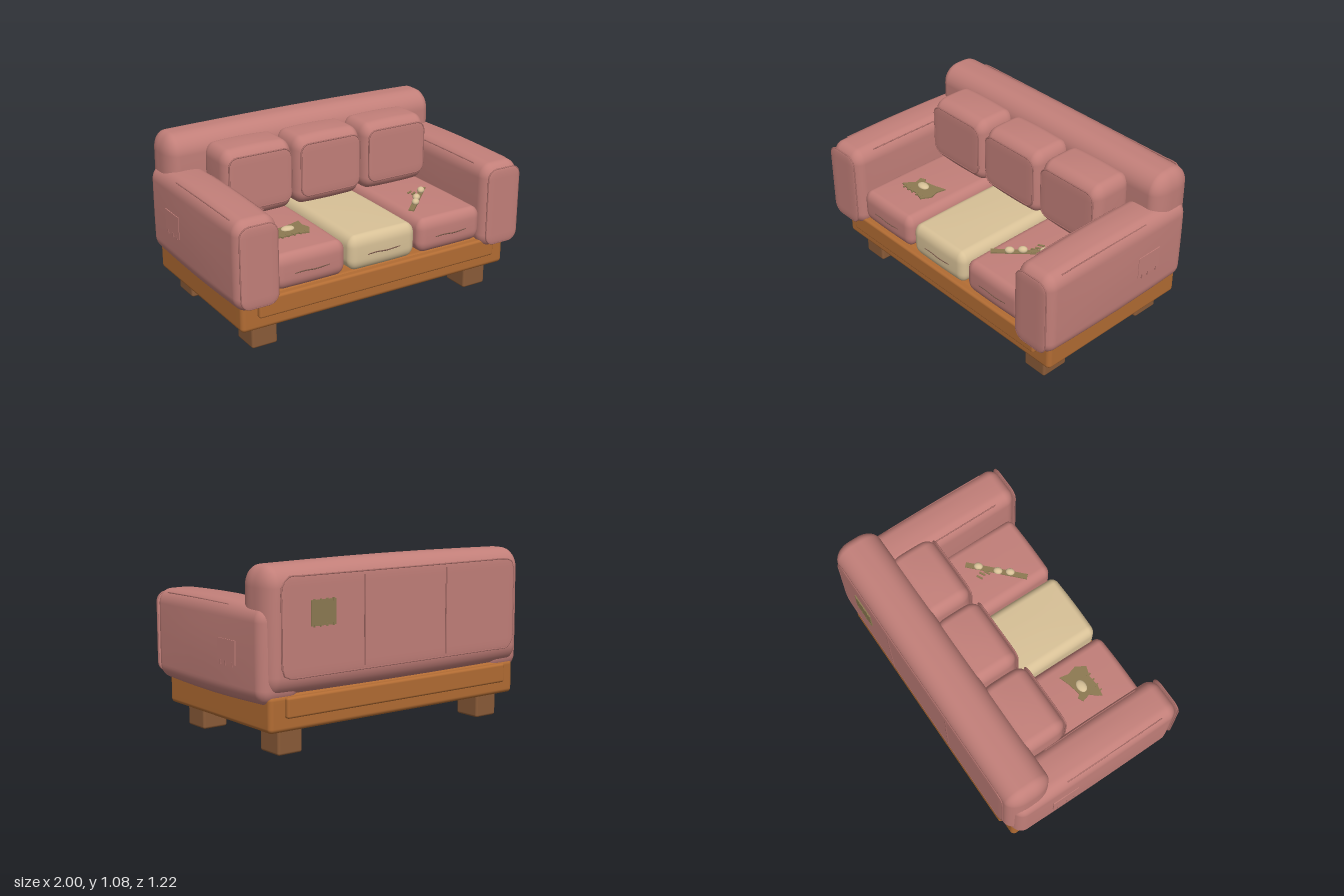
import * as THREE from 'three';
import { mergeVertices } from 'three/addons/utils/BufferGeometryUtils.js';

const mat = (name, color, side = THREE.FrontSide) => Object.assign(new THREE.MeshStandardMaterial({ color, side }), { name });

// Pillow-like box from min/max corners: elliptical rounding r and a soft bulge per axis
function softBox(min, max, r, bulge = [0, 0, 0]) {
  const k = 5, n = k * 2 + 6;
  let geo = new THREE.BoxGeometry(2, 2, 2, n, n, n);
  geo.deleteAttribute('uv');
  geo.deleteAttribute('normal');
  geo = mergeVertices(geo);
  const pos = geo.attributes.position;
  for (let v = 0; v < pos.count; v++) {
    const base = [0, 0, 0], half = [0, 0, 0];
    const dir = [0, 1, 2].map((a) => {
      const i = Math.round((pos.getComponent(v, a) + 1) / 2 * n);
      half[a] = (max[a] - min[a]) / 2;
      const inner = half[a] - r[a];
      const c = i < k ? i / k - 1 : i > n - k ? (i - n + k) / k : 0;
      base[a] = inner * Math.max(-1, Math.min(1, (i - n / 2) / (n / 2 - k)));
      return Math.tan(c * Math.PI / 4);
    });
    const len = Math.hypot(...dir);
    for (let a = 0; a < 3; a++) {
      const d = dir[a] / len;
      let puff = bulge[a] * d;
      for (let b = 0; b < 3; b++) if (b !== a) puff *= Math.cos(base[b] / half[b] * Math.PI / 2);
      pos.setComponent(v, a, (min[a] + max[a]) / 2 + base[a] + r[a] * d + puff);
    }
  }
  geo.computeVertexNormals();
  return geo;
}

// Closed piping around a rounded rectangle lying in the xy plane
function piping(w, h, r, thick) {
  const s = new THREE.Shape(), x = w / 2 - r, y = h / 2 - r, q = Math.PI / 2;
  [[x, y], [-x, y], [-x, -y], [x, -y]].forEach(([cx, cy], i) => s.absarc(cx, cy, r, i * q, (i + 1) * q));
  s.closePath();
  const pts = s.getSpacedPoints(56).slice(0, -1).map((p) => new THREE.Vector3(p.x, p.y, 0));
  return new THREE.TubeGeometry(new THREE.CatmullRomCurve3(pts, true), 112, thick, 6, true);
}

export function createModel() {
  const root = new THREE.Group();
  root.name = 'sofa';
  const fabric = mat('rose fabric', 0xc27f79);
  const pipe = mat('rose piping', 0xad706b);
  const tan = mat('tan fabric', 0xd8c197);
  const wood = mat('wood', 0xb26c33);
  const legWood = mat('leg wood', 0x8a5b38);
  const under = mat('dark underside', 0x655642);
  const patchCloth = mat('olive patch', 0x8d7a52, THREE.DoubleSide);
  const thread = mat('brown thread', 0x7c5a4c);

  const add = (name, geo, m) => {
    const mesh = new THREE.Mesh(geo, m);
    mesh.name = name;
    root.add(mesh);
    return mesh;
  };
  const bar = (name, size, at, m, rotY = 0) => {
    const mesh = add(name, new THREE.BoxGeometry(...size), m);
    mesh.position.set(...at);
    mesh.rotation.y = rotY;
  };
  const line = (name, pts, radius, m) => add(name, new THREE.TubeGeometry(
    new THREE.CatmullRomCurve3(pts.map((p) => new THREE.Vector3(...p))), 24, radius, 5), m);
  // Thin padded panel with piping, facing +z or -z
  const paddedPanel = (name, x, y, z, w, h, r, depth = 0.009) => {
    add(name, softBox([x - w / 2, y - h / 2, z - depth / 2], [x + w / 2, y + h / 2, z + depth / 2], [r, r, depth * 0.4]), fabric);
    add(name + 'Piping', piping(w, h, r, 0.005), pipe).position.set(x, y, z);
  };

  // Wooden base with front and back rails
  const R = (r) => [r, r, r];
  add('base', softBox([-0.935, 0.145, -0.553], [0.935, 0.355, 0.53], R(0.028)), wood);
  add('frontRail', softBox([-0.835, 0.228, 0.5], [0.835, 0.35, 0.56], R(0.015)), wood);
  add('backRail', softBox([-0.835, 0.225, -0.582], [0.835, 0.345, -0.52], R(0.015)), wood);
  bar('undersidePanel', [1.7, 0.012, 0.93], [0, 0.145, -0.01], under);

  for (const s of [-1, 1]) {
    // Legs
    for (const z of [0.383, -0.407]) {
      add('leg', softBox([s * 0.76 - 0.083, 0, z - 0.091], [s * 0.76 + 0.083, 0.17, z + 0.091], R(0.015)), legWood);
    }
    // Arm with its front panel
    add('arm', softBox([s * 0.85 - 0.135, 0.302, -0.552], [s * 0.85 + 0.135, 0.845, 0.595], [0.075, 0.085, 0.07], [0.01, 0.02, 0.004]), fabric);
    paddedPanel('armFrontPanel', s * 0.853, 0.575, 0.6, 0.235, 0.49, 0.06, 0.018);
    // Top seams of the arm
    line('armSeam', [[s * 0.962, 0.829, 0.48], [s * 0.964, 0.833, 0.15], [s * 0.963, 0.831, -0.2]], 0.004, pipe);
    line('armInnerSeam', [[s * 0.735, 0.829, 0.45], [s * 0.733, 0.833, 0.15], [s * 0.735, 0.831, -0.2]], 0.004, pipe);
    // Side patch and its stitches
    bar('armPatch', [0.009, 0.14, 0.18], [s * 0.9925, 0.57, -0.215], fabric);
    for (const z of [-0.155, -0.205, -0.275]) bar('armPatchStitch', [0.008, 0.028, 0.007], [s * 0.996, 0.503, z], pipe);
  }

  // Backrest with panel and vertical seams behind
  add('backrest', softBox([-0.958, 0.34, -0.588], [0.958, 1.068, -0.292], [0.075, 0.12, 0.12], [0.004, 0.012, 0.003]), fabric);
  paddedPanel('backPanel', 0, 0.73, -0.594, 1.76, 0.56, 0.06);
  for (const x of [-0.31, 0.31]) line('backSeam', [[x, 0.47, -0.599], [x + 0.002, 0.73, -0.6], [x, 0.99, -0.599]], 0.005, pipe);

  // Patch on the back
  bar('backPatch', [0.17, 0.145, 0.009], [0.605, 0.8, -0.601], patchCloth);
  for (let i = 0; i < 4; i++) {
    for (const y of [0.731, 0.869]) bar('backPatchStitch', [0.009, 0.018, 0.007], [0.538 + i * 0.044, y, -0.605], patchCloth);
  }

  // Seat and back cushions
  for (const i of [-1, 0, 1]) {
    const x = i * 0.491;
    add('seatCushion', softBox([x - 0.232, 0.362, -0.3], [x + 0.232, 0.58, 0.557], [0.055, 0.07, 0.045], [0.006, 0.008, 0.006]), i ? fabric : tan);
    line('seatCrease', [[-0.115, 0.457, 0.559], [-0.05, 0.461, 0.562], [0.02, 0.456, 0.563], [0.115, 0.46, 0.559]]
      .map(([dx, y, z]) => [x + dx, y, z]), 0.004, thread);
    add('backCushion', softBox([x - 0.232, 0.58, -0.34], [x + 0.232, 1.01, -0.034], [0.06, 0.08, 0.08], [0.006, 0.013, 0.004]), fabric);
    paddedPanel('backCushionPanel', x, 0.807, -0.029, 0.42, 0.335, 0.055);
  }

  // Frayed patch and button on the right seat
  const outline = [[-0.565, 0.215], [-0.53, 0.2], [-0.515, 0.222], [-0.43, 0.205], [-0.36, 0.182], [-0.372, 0.24],
    [-0.355, 0.3], [-0.39, 0.362], [-0.46, 0.34], [-0.53, 0.348], [-0.6, 0.335], [-0.585, 0.31], [-0.55, 0.27]];
  const shape = new THREE.Shape(outline.map(([x, z]) => new THREE.Vector2(x, -z)));
  const patch = add('seatPatch', new THREE.ExtrudeGeometry(shape, { depth: 0.009, bevelEnabled: false }), patchCloth);
  patch.rotation.x = -Math.PI / 2;
  patch.position.y = 0.584;
  for (let i = 0; i < 5; i++) bar('seatPatchStitch', [0.009, 0.009, 0.028], [-0.565 + i * 0.04, 0.59, 0.342], patchCloth, 0.2);

  // Flattened round lumps of tan filling
  const lump = (name, x, y, z, scale, rot = 0) => {
    const m = add(name, new THREE.SphereGeometry(1, 20, 12), tan);
    m.position.set(x, y, z);
    m.scale.set(...scale);
    m.rotation.y = rot;
  };
  lump('seatButton', -0.48, 0.595, 0.262, [0.043, 0.016, 0.03]);

  // Diagonal tear with stuffing on the left seat
  const angle = Math.atan2(0.28, 0.29);
  bar('seatTear', [0.4, 0.009, 0.034], [0.45, 0.589, 0.263], patchCloth, angle);
  for (const [x, z] of [[0.39, 0.328], [0.44, 0.268], [0.535, 0.183]]) lump('stuffing', x, 0.604, z, [0.029, 0.021, 0.023], angle);
  for (let i = 0; i < 4; i++) bar('tearStitch', [0.042, 0.009, 0.011], [0.472 + (i % 2) * 0.01, 0.59, 0.15 + i * 0.028], patchCloth, 0.5);
  return root;
}
